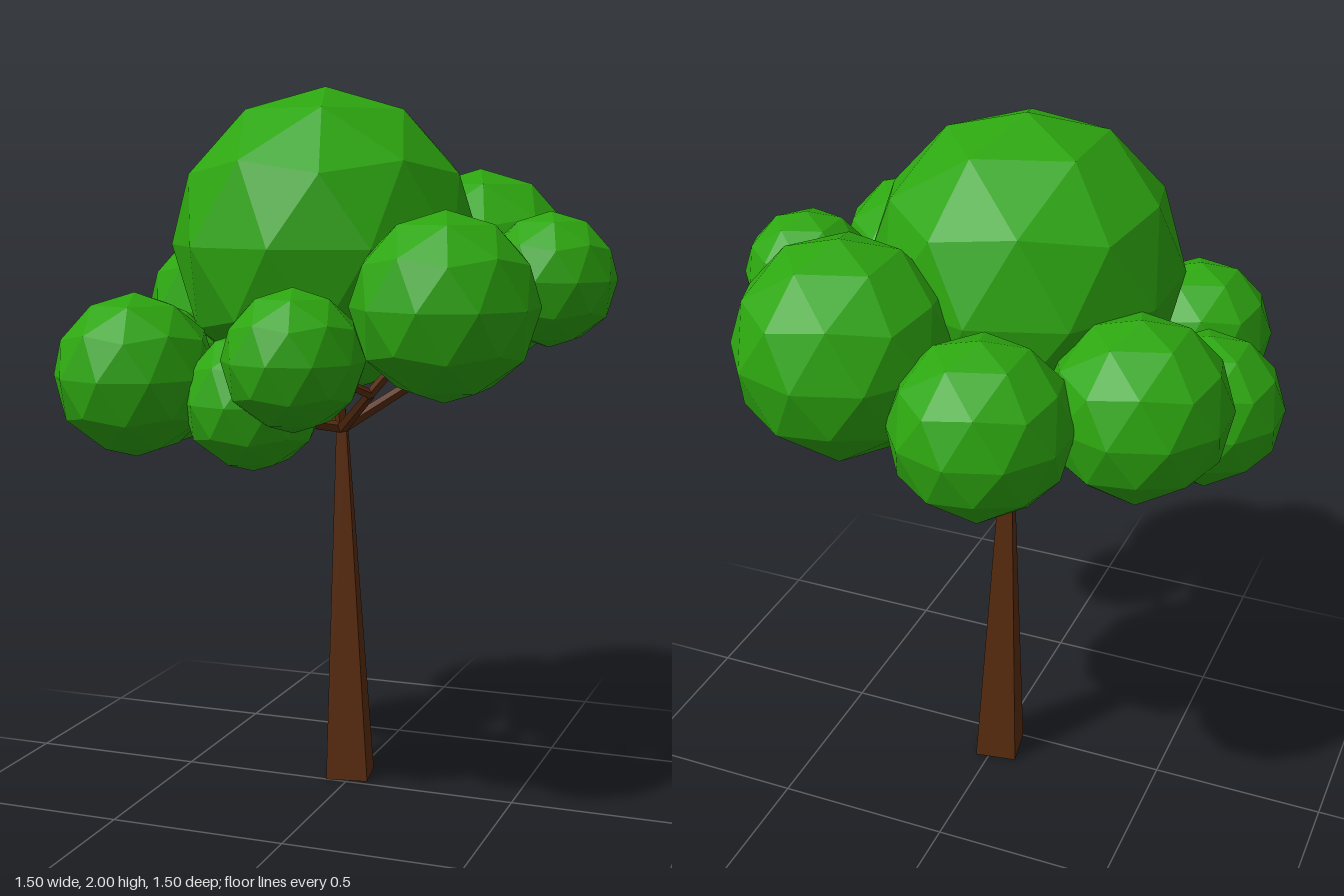
import * as THREE from 'three';

const V = (x, y, z) => new THREE.Vector3(x, y, z);

export function createModel() {
  const tree = new THREE.Group();
  tree.name = 'tree';

  const bark = new THREE.MeshStandardMaterial({ color: 0x5a2c0f, flatShading: true });
  const leaf = new THREE.MeshStandardMaterial({ color: 0x2da610, flatShading: true });

  const add = (parent, name, geometry, material) => {
    const mesh = new THREE.Mesh(geometry, material);
    mesh.name = name;
    parent.add(mesh);
    return mesh;
  };

  // Trunk: square, tapering and leaning slightly towards the crotch
  const crotch = V(-0.035, 1.04, -0.065);
  const base = V(-0.012, 0, -0.07);
  const trunk = new THREE.CylinderGeometry(0.021, 0.0865, crotch.y, 4, 1);
  trunk.rotateY(Math.PI / 4 + 0.17).translate(0, crotch.y / 2, 0);
  const p = trunk.attributes.position;
  for (let i = 0; i < p.count; i++) {
    const t = p.getY(i) / crotch.y;
    p.setX(i, p.getX(i) + THREE.MathUtils.lerp(base.x, crotch.x, t));
    p.setZ(i, p.getZ(i) + THREE.MathUtils.lerp(base.z, crotch.z, t));
  }
  add(tree, 'trunk', trunk, bark);

  // Foliage: faceted balls with a pole on top, [x, y, z, radius]
  const balls = {
    crown: [-0.045, 1.57, 0.04, 0.43],
    back: [-0.145, 1.38, -0.515, 0.237],
    backLeft: [0.27, 1.485, -0.425, 0.295],
    left: [0.575, 1.48, -0.035, 0.184],
    frontLeft: [0.388, 1.425, 0.328, 0.247],
    front: [0.065, 1.3, 0.565, 0.183],
    frontLow: [-0.09, 1.18, 0.46, 0.185],
    frontRight: [-0.405, 1.24, 0.503, 0.217],
    right: [-0.543, 1.195, 0.135, 0.217],
    backRight: [-0.465, 1.365, -0.245, 0.246],
  };
  const ball = new THREE.IcosahedronGeometry(1, 1);
  ball.rotateZ(-Math.atan(2 / (1 + Math.sqrt(5))));
  const foliage = new THREE.Group();
  foliage.name = 'foliage';
  tree.add(foliage);
  for (const [name, [x, y, z, r]] of Object.entries(balls)) {
    const mesh = add(foliage, name + 'Foliage', ball, leaf);
    mesh.position.set(x, y, z);
    mesh.scale.setScalar(r);
  }

  // Branches: each limb leaves the crotch and forks into twigs that enter the balls
  const branches = new THREE.Group();
  branches.name = 'branches';
  tree.add(branches);
  const branch = (name, a, b, r0, r1) => {
    const dir = b.clone().sub(a);
    const mesh = add(branches, name, new THREE.CylinderGeometry(r1, r0, dir.length(), 5), bark);
    mesh.position.copy(a).add(b).multiplyScalar(0.5);
    mesh.quaternion.setFromUnitVectors(V(0, 1, 0), dir.normalize());
  };
  const limbs = [
    { fork: V(0.32, 1.27, -0.07), to: ['left', 'backLeft'] },
    { fork: V(0.18, 1.19, 0.31), to: ['frontLeft', 'front'] },
    { fork: V(-0.27, 1.22, -0.35), to: ['back', 'backRight'] },
    { fork: V(-0.33, 1.13, 0.29), to: ['frontRight', 'right', 'frontLow'] },
    { fork: V(-0.04, 1.3, -0.02), to: ['crown'] },
  ];
  for (const { fork, to } of limbs) {
    branch('limb', crotch, fork, 0.018, 0.014);
    for (const name of to) branch('twig', fork, V(...balls[name]), 0.014, 0.01);
  }

  return tree;
}
